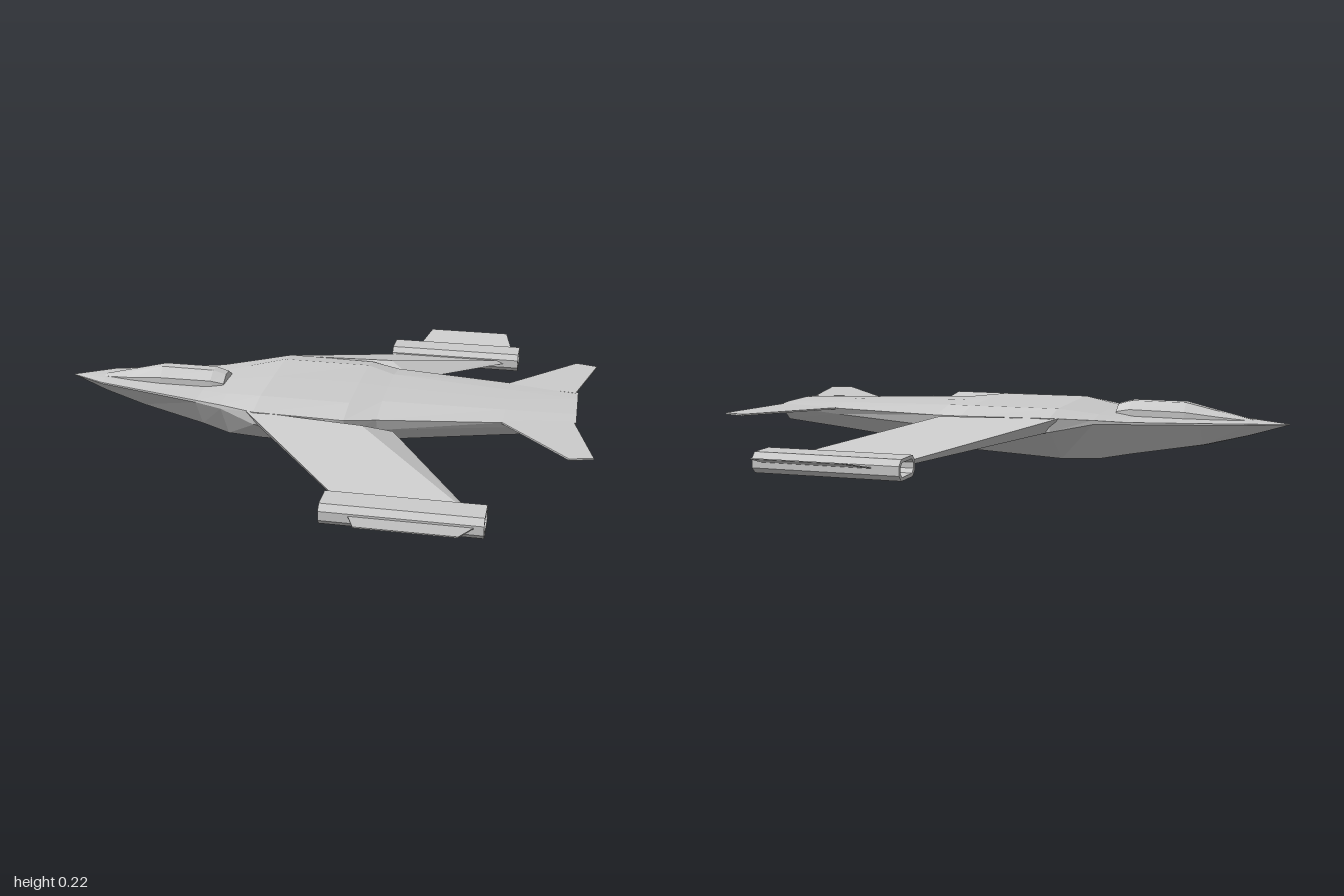
import * as THREE from 'three';

const material = new THREE.MeshStandardMaterial({ color: 0xcccccc, flatShading: true, side: THREE.DoubleSide });

// Joins rings of [x, y, z] points into a closed, flat-shaded solid facing outwards
function loft(name, rings) {
  const tris = [];
  const n = rings[0].length;
  for (let r = 0; r < rings.length - 1; r++) {
    for (let i = 0; i < n; i++) {
      const j = (i + 1) % n, a = rings[r], b = rings[r + 1];
      tris.push([a[i], a[j], b[i]], [a[j], b[j], b[i]]);
    }
  }
  const first = rings[0], last = rings[rings.length - 1];
  for (let i = 1; i < n - 1; i++) {
    tris.push([first[0], first[i + 1], first[i]], [last[0], last[i], last[i + 1]]);
  }
  // The sign of the volume tells whether the faces point outwards
  const origin = new THREE.Vector3(...first[0]);
  let volume = 0;
  for (const t of tris) {
    const [p, q, s] = t.map((c) => new THREE.Vector3(...c).sub(origin));
    volume += p.dot(q.cross(s));
  }
  if (volume < 0) tris.forEach((t) => t.reverse());
  const geometry = new THREE.BufferGeometry();
  geometry.setAttribute('position', new THREE.Float32BufferAttribute(tris.flat(2), 3));
  geometry.computeVertexNormals();
  const mesh = new THREE.Mesh(geometry, material);
  mesh.name = name;
  return mesh;
}

// Full ring at x from half a section of [z, y], listed from top centre to bottom centre
function section(x, half) {
  const right = half.map(([z, y]) => [x, y, z]);
  const left = half.slice(1, -1).reverse().map(([z, y]) => [x, y, -z]);
  return [...right, ...left];
}

// Thin plate from an outline of [x, y, z]
function plate(name, outline, t) {
  return loft(name, [-t, t].map((d) => outline.map(([x, y, z]) => [x, y + d, z])));
}

// Octagonal outline with cut corners
function octagon(Type, w, h, c) {
  return new Type([
    [w, h - c], [w - c, h], [c - w, h], [-w, h - c],
    [-w, c - h], [c - w, -h], [w - c, -h], [w, c - h],
  ].map(([x, y]) => new THREE.Vector2(x, y)));
}

export function createModel() {
  const model = new THREE.Group();
  model.name = 'spacecraft';

  // Hull: x, top centre y, deck edge, upper edge, lower edge, chine, keel y
  const hull = [
    [-1, 0.157, [0.001, 0.157], [0.003, 0.156], [0.003, 0.155], [0.001, 0.154], 0.154],
    [-0.86, 0.167, [0.04, 0.166], [0.08, 0.162], [0.08, 0.157], [0.035, 0.115], 0.11],
    [-0.7, 0.17, [0.06, 0.168], [0.124, 0.163], [0.124, 0.157], [0.06, 0.077], 0.068],
    [-0.45, 0.172, [0.1, 0.17], [0.195, 0.166], [0.195, 0.158], [0.11, 0.04], 0.027],
    [-0.34, 0.187, [0.15, 0.185], [0.243, 0.175], [0.243, 0.16], [0.14, 0.022], 0.004],
    [-0.2, 0.207, [0.2, 0.206], [0.31, 0.185], [0.305, 0.135], [0.145, 0.016], 0.004],
    [0.13, 0.207, [0.2, 0.205], [0.31, 0.18], [0.295, 0.125], [0.145, 0.033], 0.026],
    [0.24, 0.2, [0.14, 0.197], [0.268, 0.174], [0.255, 0.13], [0.135, 0.044], 0.038],
    [0.68, 0.186, [0.1, 0.184], [0.2, 0.174], [0.185, 0.15], [0.095, 0.084], 0.082],
    [0.935, 0.177, [0.075, 0.177], [0.15, 0.173], [0.143, 0.165], [0.075, 0.106], 0.105],
  ];
  model.add(loft('hull', hull.map(([x, top, a, b, c, d, keel]) =>
    section(x, [[0, top], a, b, c, d, [0, keel]]))));

  // Canopy: x, half width, shoulder y, top y, top half width
  const canopy = [
    [-0.87, 0.02, 0.165, 0.168, 0.006],
    [-0.75, 0.047, 0.178, 0.195, 0.014],
    [-0.63, 0.062, 0.192, 0.223, 0.02],
    [-0.43, 0.066, 0.195, 0.223, 0.022],
    [-0.38, 0.06, 0.185, 0.209, 0.02],
  ];
  model.add(loft('canopy', canopy.map(([x, w, mid, top, tw]) =>
    section(x, [[0, top], [tw, top], [w, mid], [w, 0.16], [0, 0.155]]))));

  for (const s of [1, -1]) {
    const side = s > 0 ? 'left' : 'right';
    const mirror = (points) => points.map(([x, y, z]) => [x, y, z * s]);

    // Swept, drooping wing with a ridge running to the rear of its tip
    model.add(loft(side + 'Wing', [
      mirror([[-0.23, 0.184, 0.3], [0.2, 0.18, 0.34], [0.3, 0.135, 0.265], [0.18, 0.12, 0.29], [-0.19, 0.132, 0.295]]),
      mirror([[0.18, 0.077, 0.71], [0.6, 0.077, 0.71], [0.62, 0.067, 0.705], [0.58, 0.06, 0.705], [0.19, 0.06, 0.705]]),
    ]));

    // Hollow pod at the wing tip
    const shape = octagon(THREE.Shape, 0.068, 0.036, 0.02);
    shape.holes.push(octagon(THREE.Path, 0.055, 0.024, 0.014));
    const tube = new THREE.ExtrudeGeometry(shape, { depth: 0.53, bevelEnabled: false });
    tube.rotateY(Math.PI / 2);
    const pod = new THREE.Mesh(tube, material);
    pod.name = side + 'Pod';
    pod.position.set(0.148, 0.068, 0.77 * s);
    model.add(pod);

    // Small fin outside the pod
    model.add(plate(side + 'PodFin', mirror([
      [0.235, 0.065, 0.8], [0.285, 0.108, 0.97], [0.61, 0.108, 0.97], [0.655, 0.065, 0.8],
    ]), 0.002));

    // Flat tail fin
    model.add(plate(side + 'TailFin', mirror([
      [0.66, 0.172, 0.18], [0.68, 0.172, 0.2], [0.92, 0.172, 0.47], [1, 0.172, 0.448], [0.925, 0.172, 0.14],
    ]), 0.003));
  }
  return model;
}
